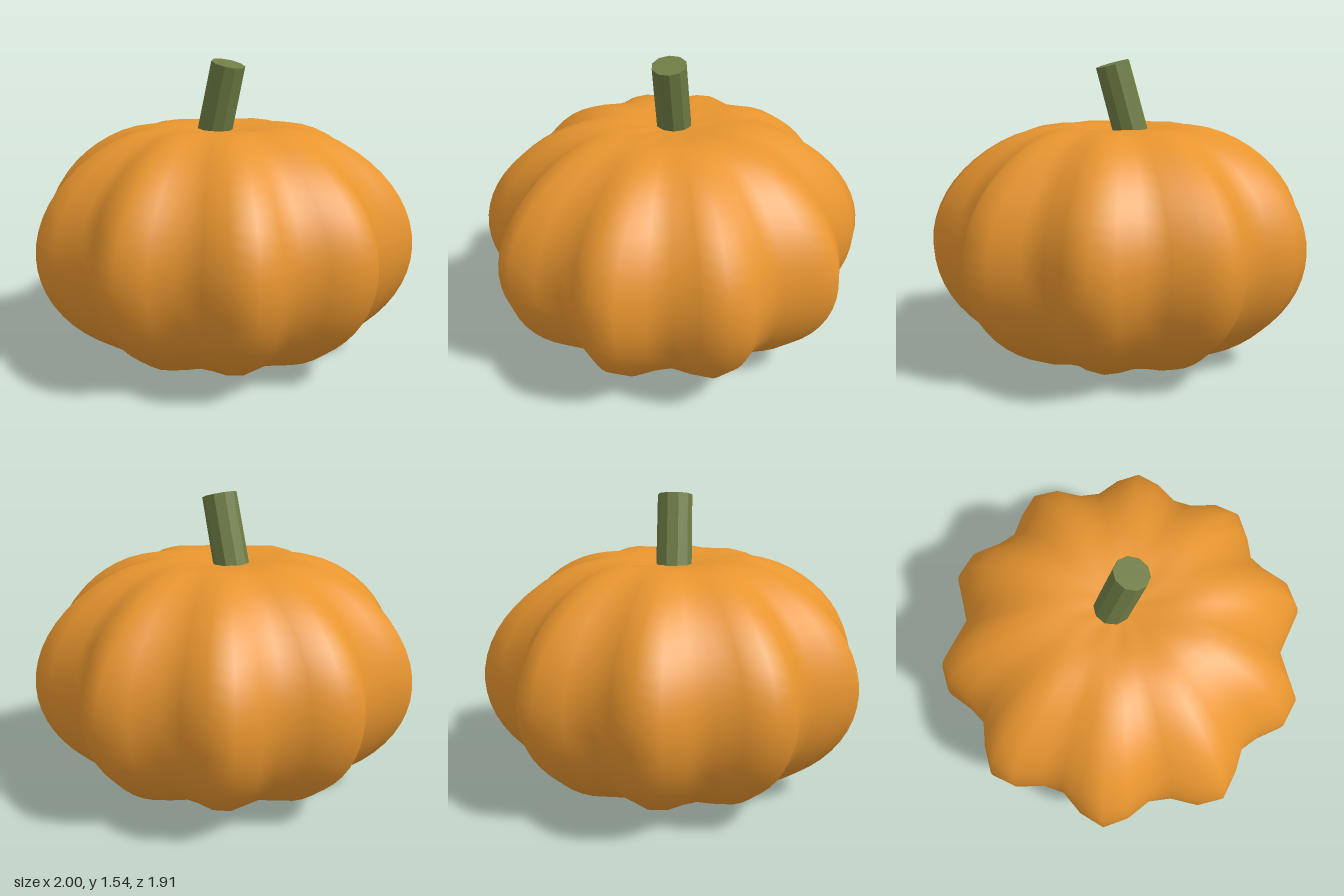
import * as THREE from 'three';
import { mergeVertices } from 'three/addons/utils/BufferGeometryUtils.js';

const LOBES = 10;

// Ribbed body: a squashed sphere with scalloped sides and a shallow dimple at each pole
function bodyGeometry() {
  const geo = new THREE.SphereGeometry(1, 48, 32);
  const pos = geo.attributes.position;
  for (let i = 0; i < pos.count; i++) {
    const x = pos.getX(i), y = pos.getY(i), z = pos.getZ(i);
    const r2 = x * x + z * z;
    const rib = 0.932 + 0.068 * Math.cos(LOBES * Math.atan2(z, x));
    const dimple = 0.11 * Math.exp(-r2 / 0.114) * Math.sign(y);
    pos.setXYZ(i, x * rib, 0.6 + 0.68 * y - dimple, z * rib);
  }
  // Weld the seam so the shading is smooth all round
  geo.deleteAttribute('uv');
  geo.deleteAttribute('normal');
  const welded = mergeVertices(geo, 1e-4);
  welded.computeVertexNormals();
  return welded;
}

export function createModel() {
  const model = new THREE.Group();
  model.name = 'pumpkin';

  const body = new THREE.Mesh(
    bodyGeometry(),
    new THREE.MeshStandardMaterial({ color: 0xe8952f })
  );
  body.name = 'body';
  model.add(body);

  // Faceted stem, placed by the centre of its cut top and leaning forward
  const length = 0.42;
  const stemGeo = new THREE.CylinderGeometry(0.089, 0.092, length, 10);
  stemGeo.translate(0, -length / 2, 0);
  const stem = new THREE.Mesh(
    stemGeo,
    new THREE.MeshStandardMaterial({ color: 0x6f7d45, flatShading: true })
  );
  stem.name = 'stem';
  stem.position.set(0.015, 1.518, 0.042);
  stem.rotation.set(0.25, 0, -0.1);
  model.add(stem);

  return model;
}
